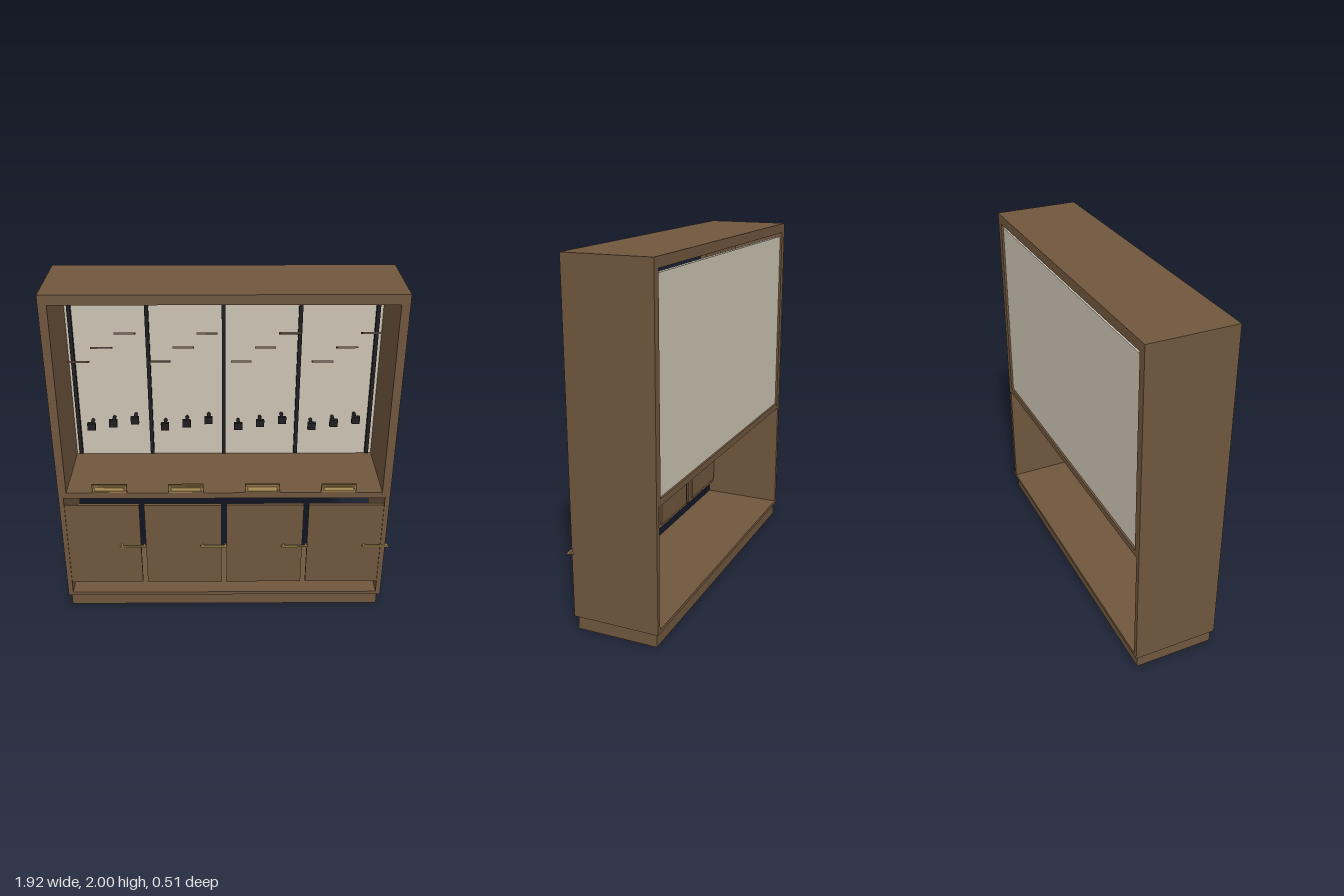
import * as THREE from 'three';

const mat = (name, color) => {
  const m = new THREE.MeshStandardMaterial({ color });
  m.name = name;
  return m;
};

export function createModel() {
  const wood = mat('walnut wood', 0x6f563d);
  const peg = mat('dark wood', 0x5a3d2d);
  const cream = mat('cream panel', 0xcbc3b2);
  const black = mat('black metal', 0x1e1e20);
  const gold = mat('brass', 0xb3985a);
  const bronze = mat('bronze', 0x6e5632);

  const root = new THREE.Group();
  root.name = 'displayCabinet';

  const group = (name, x, y, z) => {
    const g = new THREE.Group();
    g.name = name;
    g.position.set(x, y, z);
    root.add(g);
    return g;
  };
  // box given by its extents on each axis
  const box = (name, material, [x0, x1], [y0, y1], [z0, z1], parent = root) => {
    const m = new THREE.Mesh(new THREE.BoxGeometry(x1 - x0, y1 - y0, z1 - z0), material);
    m.name = name;
    m.position.set((x0 + x1) / 2, (y0 + y1) / 2, (z0 + z1) / 2);
    parent.add(m);
    return m;
  };

  // carcass
  const depth = [-0.255, 0.237];
  box('plinth', wood, [-0.945, 0.928], [0, 0.08], [-0.24, 0.222]);
  box('bottomBoard', wood, [-0.96, 0.945], [0.08, 0.1], depth);
  box('topSlab', wood, [-0.96, 0.945], [1.945, 2], depth);
  box('middleShelf', wood, [-0.935, 0.92], [0.778, 0.815], [-0.254, 0.236]);
  box('lowerRightSide', wood, [-0.96, -0.932], [0.1, 0.795], depth);
  box('lowerLeftSide', wood, [0.917, 0.945], [0.1, 0.795], depth);
  box('upperRightSide', wood, [-0.96, -0.913], [0.795, 1.945], depth);
  box('upperLeftSide', wood, [0.898, 0.945], [0.795, 1.945], depth);
  box('backPanel', cream, [-0.912, 0.897], [0.815, 1.921], [-0.243, -0.222]);

  // upright rails in front of the back panel
  for (let i = 0; i < 5; i++) {
    const x = -0.885 + i * 0.438;
    box('rail', black, [x - 0.011, x + 0.011], [0.826, 1.915], [-0.222, -0.2]);
  }

  // four bays: stepped rests, hooks and a plaque in each
  for (let bay = 0; bay < 4; bay++) {
    const bx = bay * 0.437;
    for (let k = 0; k < 3; k++) {
      const rest = group('tiltedRest', -0.79 + bx + k * 0.128, 1.593 + k * 0.081, 0.147);
      rest.rotation.x = -0.4;
      box('restPlate', peg, [-0.055, 0.055], [-0.005, 0.005], [-0.032, 0.032], rest);

      const hook = group('hook', -0.797 + bx + k * 0.13, 1.05 + k * 0.02, -0.222);
      box('hookPad', black, [-0.024, 0.024], [-0.022, 0.022], [0.075, 0.097], hook);
      const stem = new THREE.Mesh(new THREE.CylinderGeometry(0.01, 0.01, 0.08, 12), black);
      stem.name = 'hookStem';
      stem.rotation.x = Math.PI / 2;
      stem.position.z = 0.04;
      hook.add(stem);
    }

    // plaque with raised brass border and band
    const plaque = group('plaque', -0.664 + bx, 0.842, 0.23);
    box('plaquePlate', bronze, [-0.1, 0.1], [-0.027, 0.027], [-0.006, 0.006], plaque);
    for (const s of [-1, 1]) {
      box('plaqueBorder', gold, [-0.092, 0.092], [s * 0.021 - 0.0015, s * 0.021 + 0.0015], [0.006, 0.009], plaque);
      box('plaqueEnd', gold, [s * 0.092 - 0.0015, s * 0.092 + 0.0015], [-0.021, 0.021], [0.006, 0.009], plaque);
    }
    box('plaqueBand', gold, [-0.08, 0.08], [-0.009, 0.009], [0.006, 0.009], plaque);
  }

  // header sign, its top running up to the slab
  const sign = group('headerSign', -0.01, 1.845, -0.19);
  box('signBoard', wood, [-0.219, 0.219], [0, 0.102], [-0.01, 0.02], sign);
  box('signTrim', gold, [-0.2, 0.2], [0.024, 0.102], [0.02, 0.026], sign);
  box('signFace', black, [-0.187, 0.187], [0.035, 0.102], [0.026, 0.03], sign);

  // doors with a backing board and a bar handle
  for (let i = 0; i < 4; i++) {
    const door = group('door', -0.725 + i * 0.477, 0.45, 0.21);
    box('doorPanel', wood, [-0.224, 0.224], [-0.276, 0.276], [0, 0.02], door);
    box('doorBacking', wood, [-0.19, 0.19], [-0.25, 0.25], [-0.012, 0], door);
    box('handleBar', gold, [0.1, 0.257], [-0.005, 0.005], [0.035, 0.045], door);
    for (const x of [0.113, 0.245])
      box('handlePost', gold, [x - 0.004, x + 0.004], [-0.004, 0.004], [0.015, 0.036], door);
  }
  return root;
}
